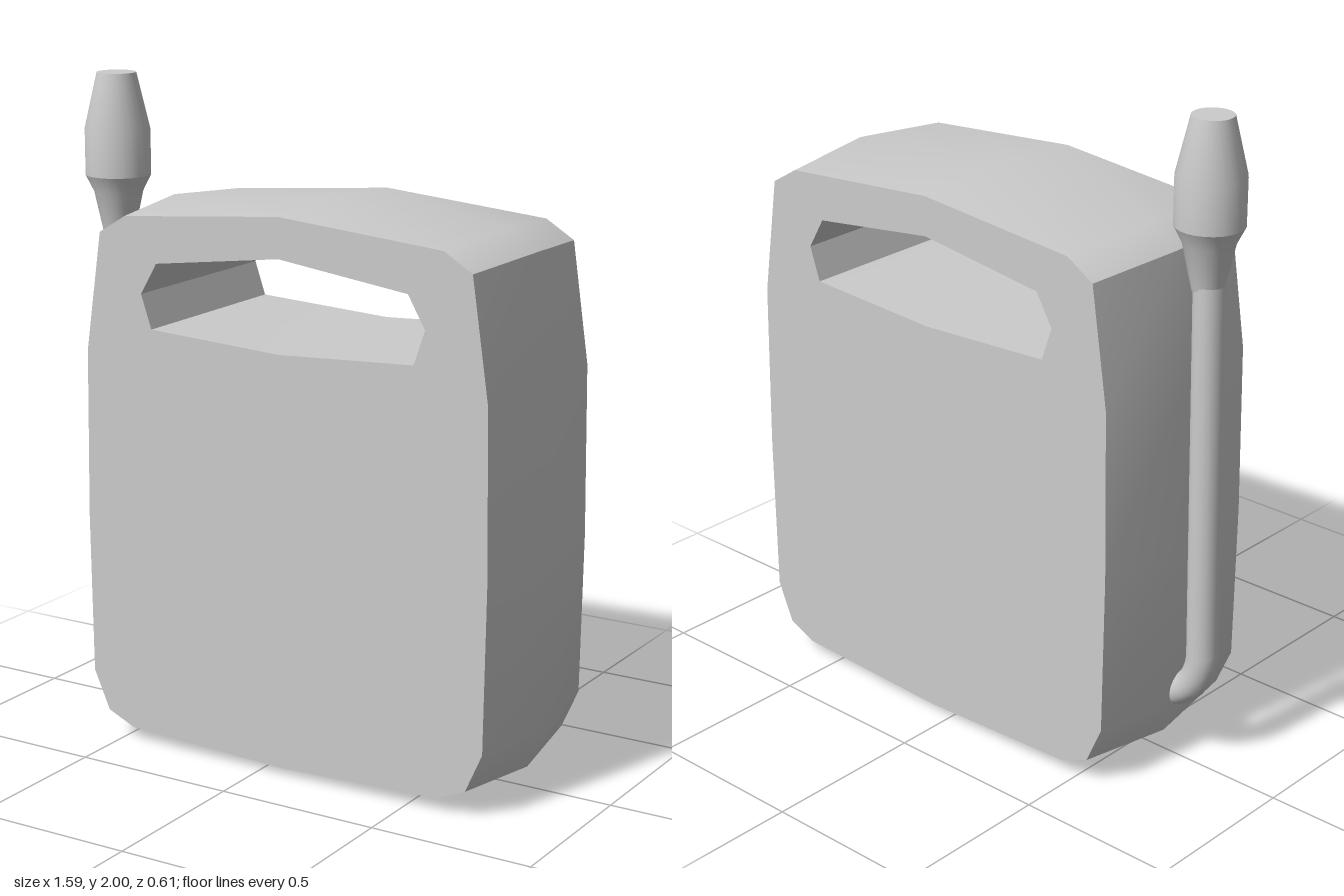
import * as THREE from 'three';
import { toCreasedNormals } from 'three/addons/utils/BufferGeometryUtils.js';

const CX = 0.07, CY = 0.847;
const material = new THREE.MeshStandardMaterial({ color: 0xcccccc });

function add(group, name, geometry) {
  const mesh = new THREE.Mesh(geometry, material);
  mesh.name = name;
  group.add(mesh);
  return mesh;
}

// Closed outline from its right half; the first and last points lie on the mirror axis
function mirrored(half) {
  const left = half.slice(1, -1).reverse().map(([x, y]) => [-x, y]);
  return [...half, ...left].map(([x, y]) => new THREE.Vector2(CX + x, y));
}

// Flat-faced can with a handle opening; the middle of its rim bulges outwards
function canBody() {
  const shape = new THREE.Shape(mirrored([
    [0, 0.025], [0.53, 0.045], [0.62, 0.085], [0.673, 0.205], [0.68, 0.7],
    [0.673, 1.21], [0.62, 1.57], [0.53, 1.625], [0, 1.67],
  ]));
  shape.holes.push(new THREE.Path(mirrored([
    [0, 1.275], [0.44, 1.298], [0.475, 1.4], [0.42, 1.495], [0, 1.55],
  ])));
  const geo = new THREE.ExtrudeGeometry(shape, { depth: 0.61, steps: 2, bevelEnabled: false });
  geo.translate(0, 0, -0.305);
  const p = geo.attributes.position;
  for (let i = 0; i < p.count; i++) {
    const dx = p.getX(i) - CX, y = p.getY(i);
    const inHandle = Math.abs(dx) < 0.5 && y > 1.2 && y < 1.6;
    if (Math.abs(p.getZ(i)) < 0.01 && !inHandle) {
      p.setXY(i, CX + dx * 1.066, CY + (y - CY) * 1.025);
    }
  }
  return toCreasedNormals(geo, Math.PI / 6);
}

// Hose leaving the side near the base and rising to the nozzle
function hose() {
  const v = (x, y) => new THREE.Vector3(x, y, 0.005);
  const path = new THREE.CurvePath();
  path.add(new THREE.QuadraticBezierCurve3(v(-0.56, 0.2), v(-0.715, 0.225), v(-0.722, 0.37)));
  path.add(new THREE.LineCurve3(v(-0.722, 0.37), v(-0.705, 1.52)));
  return new THREE.TubeGeometry(path, 48, 0.047, 16);
}

// Tapered nozzle with a flat tip
function nozzle() {
  const profile = [[0, 1.5], [0.045, 1.5], [0.075, 1.64], [0.1, 1.69], [0.1, 1.83], [0.06, 2], [0, 2]];
  const geo = new THREE.LatheGeometry(profile.map(([r, y]) => new THREE.Vector2(r, y)), 24);
  return toCreasedNormals(geo, 0.45);
}

export function createModel() {
  const group = new THREE.Group();
  group.name = 'canister';
  add(group, 'canBody', canBody());
  add(group, 'hose', hose());
  add(group, 'nozzle', nozzle()).position.set(-0.698, 0, 0.006);
  return group;
}
